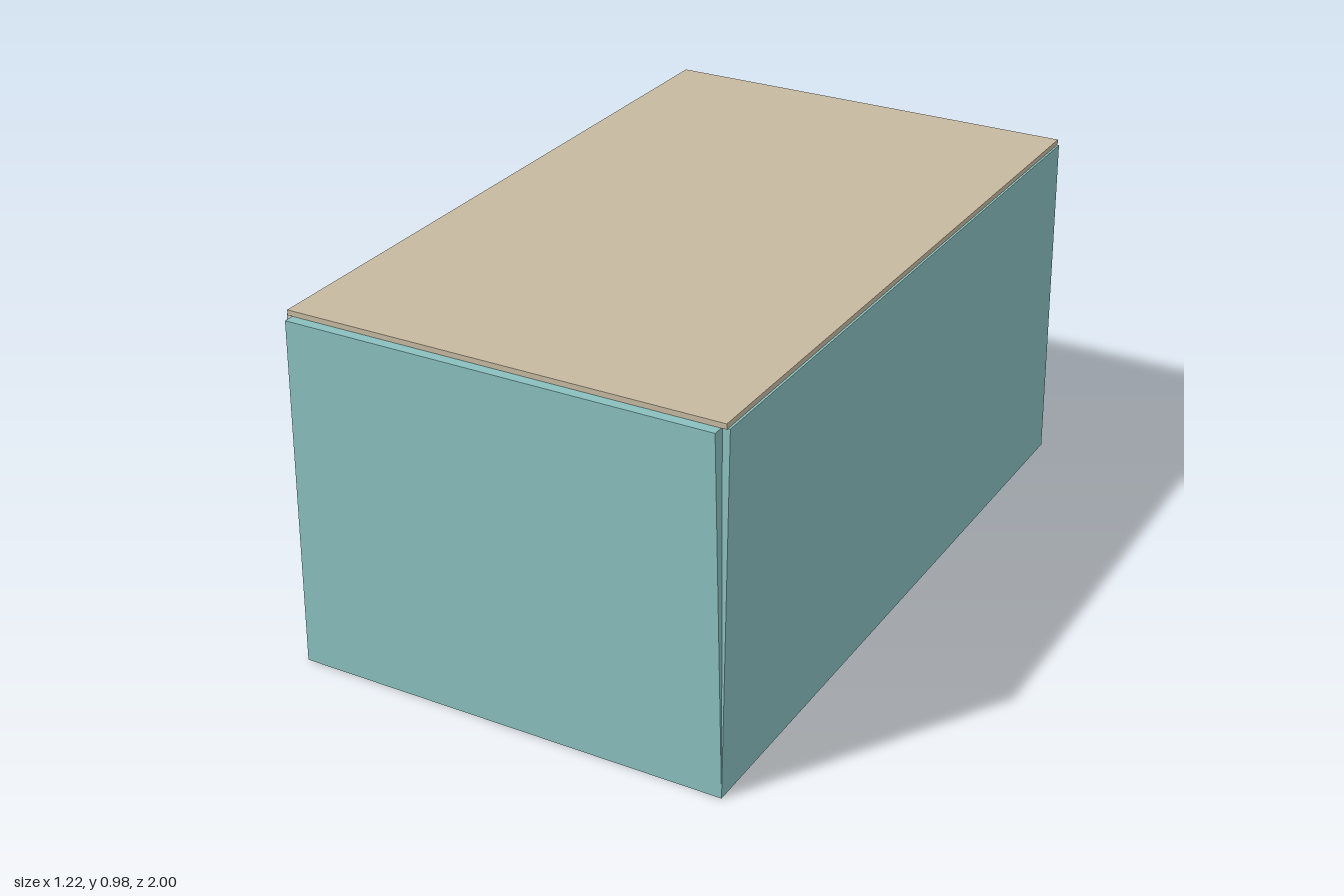
import * as THREE from 'three';

const W = 0.605, D = 1, H = 0.97;      // half width, half depth, wall height
const NX = 0.585, NZ = 0.967;          // inner edges of the open corner folds

const flat = (color, name) => Object.assign(new THREE.MeshStandardMaterial({ color }), { name });

export function createModel() {
  const teal = flat(0x8bbfbf, 'teal card');
  const tan = flat(0xc6b9a0, 'tan card');
  const grey = flat(0xc6c6c6, 'grey card');
  const ink = flat(0x1e1012, 'dark ink');

  const group = new THREE.Group();
  const add = (name, geometry, material) => {
    const mesh = new THREE.Mesh(geometry, material);
    mesh.name = name;
    group.add(mesh);
    return mesh;
  };

  // One four-cornered card panel, corners counterclockwise from outside
  const quad = (a, b, c, d) => {
    const g = new THREE.BufferGeometry();
    g.setAttribute('position', new THREE.Float32BufferAttribute([...a, ...b, ...c, ...a, ...c, ...d], 3));
    g.computeVertexNormals();
    return g;
  };

  // Rim outline: every corner is notched at the top and closes to a point at the base
  const rim = [];
  for (const [sx, sz] of [[1, 1], [1, -1], [-1, -1], [-1, 1]]) {
    const corner = [[NX, D], [NX, NZ], [W, NZ]];
    if (sx * sz < 0) corner.reverse();
    corner.forEach(([x, z]) => rim.push({ top: [sx * x, H, sz * z], base: [sx * W, 0, sz * D] }));
  }

  // Walls and the folded corner faces between them
  rim.forEach((p, i) => {
    const q = rim[(i + 1) % rim.length];
    const isWall = i % 3 === 2;
    const material = !isWall && p.base[0] < 0 ? grey : teal;
    add(isWall ? 'wall' : 'cornerFold', quad(p.base, q.base, q.top, p.top), material);
  });

  // Top rim under the lid
  const rimShape = new THREE.Shape(rim.map(({ top }) => new THREE.Vector2(top[0], -top[2])));
  add('rim', new THREE.ShapeGeometry(rimShape).rotateX(-Math.PI / 2), teal).position.y = H;

  // Underside
  add('bottom', new THREE.PlaneGeometry(2 * W, 2 * D).rotateX(Math.PI / 2), grey);

  // Lid sheet
  add('lid', new THREE.BoxGeometry(1.198, 0.014, 1.944), tan).position.y = H + 0.007;

  // Printed panel on the -x side, drawn in panel coordinates
  const label = new THREE.Group();
  label.name = 'label';
  label.rotation.y = -Math.PI / 2;
  label.position.set(-W, 0.28, -0.82);
  group.add(label);
  const print = (name, points, material, lift) => {
    const shape = new THREE.Shape(points.map(([x, y]) => new THREE.Vector2(x, y)));
    const mesh = add(name, new THREE.ShapeGeometry(shape), material);
    mesh.position.z = lift;
    label.add(mesh);
  };

  print('labelSheet', [[0, 0], [0.58, 0], [0.58, 0.35], [0, 0.35]], grey, 0.002);
  print('curvedMark', [
    [0.01, 0.275], [0.08, 0.275], [0.157, 0.257], [0.236, 0.247], [0.315, 0.249], [0.393, 0.238],
    [0.442, 0.212], [0.462, 0.166], [0.423, 0.116], [0.344, 0.088], [0.216, 0.085], [0.098, 0.077],
    [0.069, 0.058], [0.015, 0.07], [0.015, 0.125], [0.098, 0.13], [0.197, 0.13], [0.216, 0.176],
    [0.177, 0.188], [0.098, 0.209], [0.015, 0.213],
  ], ink, 0.0035);
  print('markFill', [
    [0.195, 0.125], [0.216, 0.18], [0.256, 0.193], [0.334, 0.184], [0.393, 0.203], [0.422, 0.187],
    [0.42, 0.155], [0.373, 0.128], [0.295, 0.118],
  ], tan, 0.005);

  return group;
}
